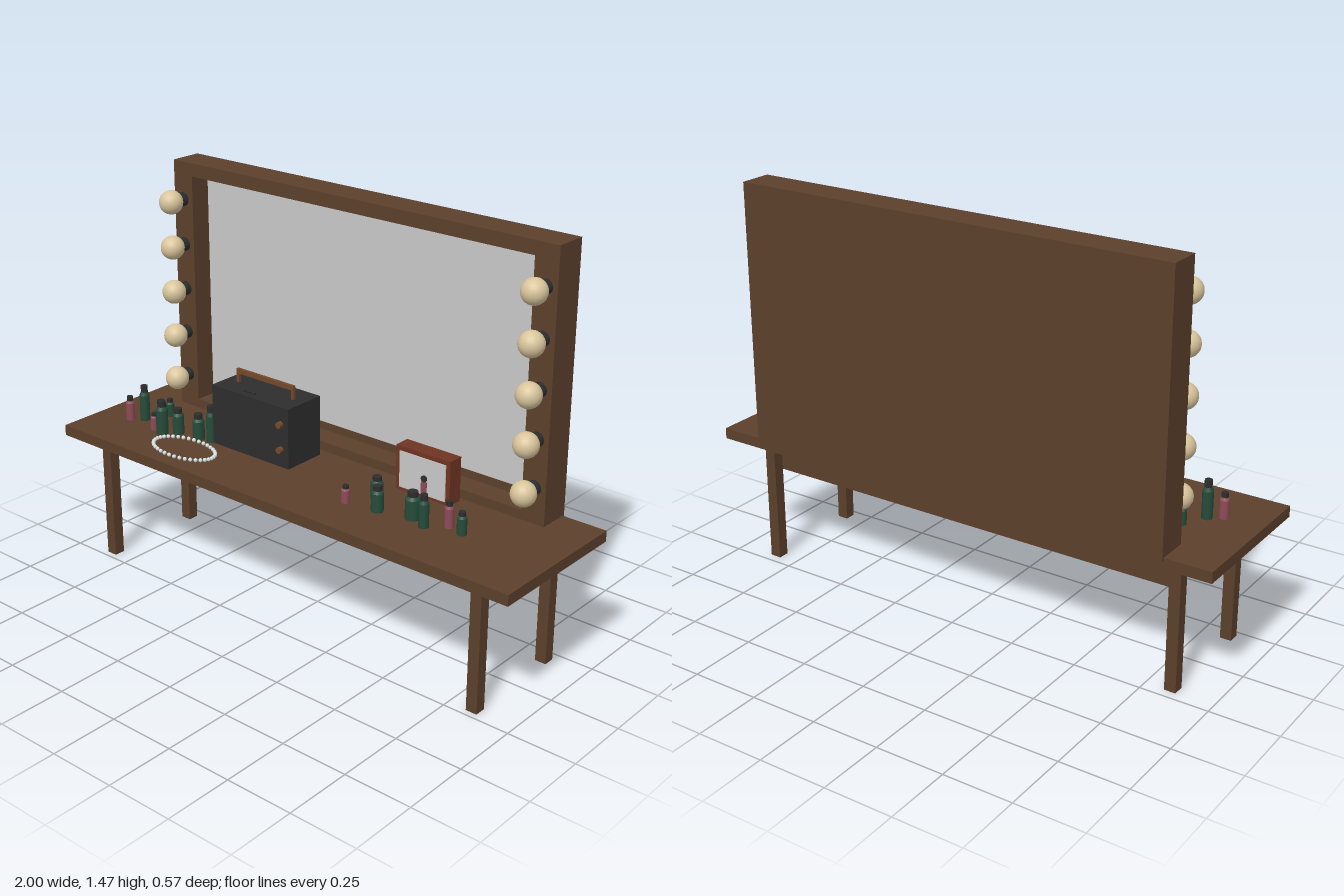
import * as THREE from 'three';

const mat = (name, color) => {
  const m = new THREE.MeshStandardMaterial({ color });
  m.name = name;
  return m;
};

export function createModel() {
  const wood = mat('brown wood', 0x5c402c);
  const glass = mat('mirror silver', 0xc8c8c8);
  const cream = mat('bulb cream', 0xd9c59c);
  const dark = mat('charcoal', 0x2d2d2d);
  const green = mat('bottle green', 0x254c3a);
  const pink = mat('bottle pink', 0x8e4a58);
  const red = mat('red wood', 0x6e3422);
  const tan = mat('tan leather', 0x73492a);
  const pearl = mat('pearl', 0xd4dede);

  const model = new THREE.Group();
  model.name = 'vanityTable';

  const group = (name, parent = model) => {
    const g = new THREE.Group();
    g.name = name;
    parent.add(g);
    return g;
  };
  const add = (parent, name, geometry, material, x = 0, y = 0, z = 0) => {
    const m = new THREE.Mesh(geometry, material);
    m.name = name;
    m.position.set(x, y, z);
    parent.add(m);
    return m;
  };
  // Box given by its limits on each axis
  const box = (parent, name, material, x0, x1, y0, y1, z0, z1) =>
    add(parent, name, new THREE.BoxGeometry(x1 - x0, y1 - y0, z1 - z0), material,
      (x0 + x1) / 2, (y0 + y1) / 2, (z0 + z1) / 2);

  // Table: top, back apron and four legs
  const table = group('table');
  const top = 0.51;
  box(table, 'tabletop', wood, -1, 1, 0.47, top, -0.277, 0.286);
  box(table, 'apron', wood, -0.825, 0.825, 0.352, 0.47, -0.173, -0.131);
  for (const x of [-0.843, 0.843])
    for (const z of [-0.195, 0.206])
      box(table, 'leg', wood, x - 0.021, x + 0.021, 0, 0.47, z - 0.021, z + 0.021);

  // Mirror: back panel, open frame and recessed glass
  const mirror = group('mirror');
  box(mirror, 'backPanel', wood, -0.831, 0.831, 0.5, 1.466, -0.286, -0.253);
  const rect = (path, x, y0, y1) =>
    path.moveTo(-x, y0).lineTo(x, y0).lineTo(x, y1).lineTo(-x, y1).closePath();
  const outline = new THREE.Shape();
  rect(outline, 0.831, 0.5, 1.466);
  const opening = new THREE.Path();
  rect(opening, 0.741, 0.545, 1.417);
  outline.holes.push(opening);
  add(mirror, 'frame', new THREE.ExtrudeGeometry(outline, { depth: 0.089, bevelEnabled: false }),
    wood, 0, 0, -0.253);
  box(mirror, 'mirrorGlass', glass, -0.741, 0.741, 0.58, 1.388, -0.253, -0.245);

  // Bulbs in sockets down both sides
  const lights = group('lights');
  const bulbGeo = new THREE.SphereGeometry(0.0445, 20, 14);
  const socketGeo = new THREE.CylinderGeometry(0.026, 0.026, 0.05, 16).rotateX(Math.PI / 2);
  for (const x of [-0.787, 0.787])
    for (let i = 0; i < 5; i++) {
      const y = 0.641 + i * 0.1713;
      add(lights, 'bulb', bulbGeo, cream, x, y, -0.1);
      add(lights, 'socket', socketGeo, dark, x, y, -0.14);
    }

  // Carrying case with handle, front knobs and top buttons
  const carryCase = group('case');
  box(carryCase, 'caseBody', dark, -0.465, -0.1, top, 0.738, -0.129, 0.041);
  box(carryCase, 'handleBar', tan, -0.417, -0.145, 0.772, 0.79, -0.049, -0.038);
  for (const x of [-0.412, -0.15])
    box(carryCase, 'handlePost', tan, x - 0.006, x + 0.006, 0.738, 0.772, -0.049, -0.038);
  const knobGeo = new THREE.CylinderGeometry(0.012, 0.012, 0.016, 14).rotateX(Math.PI / 2);
  for (const y of [0.578, 0.674]) add(carryCase, 'knob', knobGeo, tan, -0.134, y, 0.049);
  const buttonGeo = new THREE.CylinderGeometry(0.007, 0.007, 0.006, 10);
  for (const x of [-0.332, -0.309, -0.286]) add(carryCase, 'button', buttonGeo, dark, x, 0.741, 0.013);

  // Framed photo showing a small figure
  const photo = group('photoFrame');
  box(photo, 'photoBorder', red, 0.278, 0.505, top, 0.673, -0.148, -0.088);
  box(photo, 'photoSheet', glass, 0.295, 0.488, 0.522, 0.656, -0.088, -0.084);
  box(photo, 'figureBody', pink, 0.391, 0.413, 0.522, 0.572, -0.084, -0.079);
  add(photo, 'figureHead', new THREE.CylinderGeometry(0.012, 0.012, 0.005, 14).rotateX(Math.PI / 2),
    dark, 0.402, 0.583, -0.0815);

  // Bottles: x, z, height, radius, colour
  const bottles = group('bottles');
  const bottle = (x, z, h, r, material) => {
    const b = group('bottle', bottles);
    b.position.set(x, top, z);
    const shoulder = h * 0.72, neck = h * 0.82;
    const body = new THREE.CylinderGeometry(r, r, shoulder, 12);
    add(b, 'bottleBody', body, material, 0, shoulder / 2);
    add(b, 'bottleShoulder', new THREE.CylinderGeometry(r * 0.7, r, neck - shoulder, 12),
      material, 0, (shoulder + neck) / 2);
    add(b, 'bottleCap', new THREE.CylinderGeometry(r * 0.7, r * 0.7, h - neck, 12),
      dark, 0, (h + neck) / 2);
  };
  [
    [-0.858, 0.083, 0.092, 0.017, pink], [-0.812, 0.051, 0.138, 0.019, green],
    [-0.765, -0.035, 0.07, 0.016, green], [-0.719, 0.094, 0.066, 0.014, pink],
    [-0.671, 0.099, 0.13, 0.023, green], [-0.624, 0.062, 0.1, 0.022, green],
    [-0.578, -0.104, 0.12, 0.017, pink], [-0.53, 0.051, 0.1, 0.023, green],
    [-0.481, 0.035, 0.14, 0.019, green], [0.218, 0.11, 0.063, 0.016, pink],
    [0.281, 0.019, 0.083, 0.022, green], [0.342, 0.094, 0.094, 0.022, green],
    [0.465, 0.062, 0.1, 0.026, green], [0.53, 0.088, 0.118, 0.018, green],
    [0.594, 0.035, 0.095, 0.016, pink], [0.657, 0.051, 0.083, 0.017, green],
  ].forEach((b) => bottle(...b));

  // Pearl necklace lying on the table
  const necklace = group('necklace');
  const beadGeo = new THREE.SphereGeometry(0.0075, 10, 8);
  const beads = 36;
  for (let i = 0; i < beads; i++) {
    const a = (i / beads) * Math.PI * 2;
    add(necklace, 'bead', beadGeo, pearl, -0.5 + 0.138 * Math.cos(a), 0.517, 0.158 + 0.076 * Math.sin(a));
  }

  return model;
}
